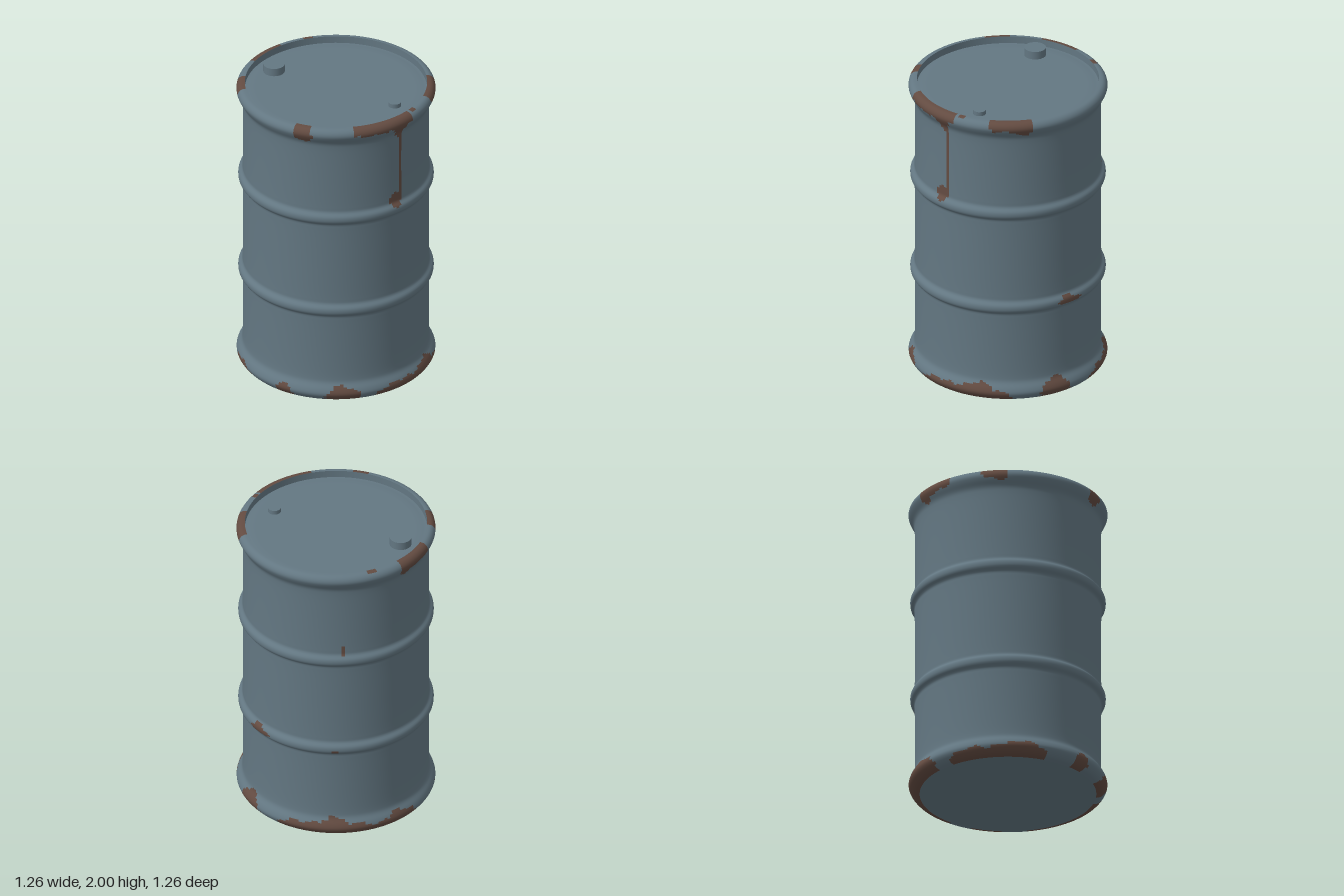
import * as THREE from 'three';

const SEGMENTS = 180;
const paint = new THREE.MeshStandardMaterial({ color: 0x637782 });
paint.name = 'blue grey paint';
const rust = new THREE.MeshStandardMaterial({ color: 0x634b41 });
rust.name = 'brown rust';

// Angles are in degrees, from the front (+z) towards +x.
// Rust on the bottom rim: [start, end, height, angle of the peak]
const bottomRust = [
  [-117, -90, 0.06, -100], [-92, -56, 0.085, -70], [-36, -25, 0.09, -30],
  [-5, 16, 0.115, 5], [26, 88, 0.125, 68], [105, 125, 0.14, 115],
  [140, 203, 0.135, 175], [200, 231, 0.11, 216],
];
// Rust on the top rim: [start, end, depth, angle of the drip, length of the drip]
const topRust = [
  [-142, -116, 0.07, -137, 0.05], [-95, -79, 0.06, -85, 0.02],
  [-24, -13, 0.085, -19, 0.02], [12, 52, 0.06, 43, 0.08], [75, 100, 0.06, 95, 0.045],
];
// Loose spots on the wall: [angle, y, half width, half height]
const spots = [
  [41, 1.395, 4.5, 0.05], [181, 1.4, 1.6, 0.035], [125, 0.66, 8.5, 0.02],
  [123, 0.68, 4, 0.022], [176, 0.64, 1.2, 0.015],
];

const wobble = (a) => 0.007 * Math.sin(a * 0.55) + 0.005 * Math.sin(a * 1.27 + 1);
const turn = (a, b) => ((a - b + 540) % 360 + 360) % 360 - 180;
const within = (a, from, to) => {
  const half = (to - from) / 2;
  return Math.abs(turn(a, from + half)) / half;
};

function isRusty(a, y, r) {
  if (y < 0.2) {
    return bottomRust.some(([from, to, height, peak]) => {
      const t = within(a + 60 * wobble(y * 900), from, to);
      if (t >= 1) return false;
      const bump = 0.7 + 0.3 * Math.exp(-((turn(a, peak) / 7) ** 2));
      return y < height * bump * (1 - t ** 6 * 0.5) + wobble(a);
    });
  }
  if (y > 1.8) {
    // small marks on the inner half of the rim
    if (r < 0.612 && y > 1.96 && (within(a, -164, -157) < 1 || within(a, 55, 59) < 1)) return true;
    return topRust.some(([from, to, depth, drip, length]) => {
      const t = within(a, from, to);
      const run = length * Math.exp(-((turn(a, drip) / 4) ** 2));
      return t < 1 && y > 1.99 - depth * (1 - t ** 6 * 0.3) - run + wobble(a);
    }) || (Math.abs(turn(a, 45)) < 1.01 && y < 1.93);
  }
  // thin run below the long drip
  if (y > 1.42 && Math.abs(turn(a, 45)) < 1.01) return true;
  return spots.some(([angle, cy, w, h]) =>
    (turn(a, angle) / w) ** 2 + ((y - cy) / h) ** 2 < 1);
}

// Split the faces of the shell into a painted and a rusty group
function splitByRust(geometry) {
  const index = geometry.index.array;
  const p = geometry.attributes.position;
  const painted = [];
  const rusty = [];
  for (let i = 0; i < index.length; i += 6) {
    let x = 0, y = 0, z = 0;
    for (let k = 0; k < 6; k++) {
      x += p.getX(index[i + k]) / 6;
      y += p.getY(index[i + k]) / 6;
      z += p.getZ(index[i + k]) / 6;
    }
    const angle = THREE.MathUtils.radToDeg(Math.atan2(x, z));
    const target = isRusty(angle, y, Math.hypot(x, z)) ? rusty : painted;
    for (let k = 0; k < 6; k++) target.push(index[i + k]);
  }
  geometry.setIndex([...painted, ...rusty]);
  geometry.clearGroups();
  geometry.addGroup(0, painted.length, 0);
  geometry.addGroup(painted.length, rusty.length, 1);
  return geometry;
}

const toPoints = (list) => list.map(([r, y]) => new THREE.Vector2(r, y));

export function createModel() {
  const drum = new THREE.Group();
  drum.name = 'drum';
  const add = (name, geometry, material) => {
    const mesh = new THREE.Mesh(geometry, material);
    mesh.name = name;
    drum.add(mesh);
    return mesh;
  };

  // Shell: rolled rims at both ends and two raised hoops
  const hoop = (y) => [
    [0.592, y - 0.07], [0.594, y - 0.045], [0.617, y - 0.018],
    [0.617, y + 0.018], [0.594, y + 0.045], [0.592, y + 0.07],
  ];
  const profile = [
    [0.56, 0], [0.59, 0.008], [0.615, 0.03], [0.63, 0.06], [0.622, 0.09],
    [0.597, 0.13], [0.592, 0.16],
    ...hoop(0.66), ...hoop(1.33),
    [0.592, 1.84], [0.597, 1.875], [0.622, 1.92], [0.631, 1.945],
    [0.625, 1.968], [0.605, 1.986], [0.578, 1.99],
  ].map(([r, y]) => new THREE.Vector3(r, y, 0));
  const curve = new THREE.CatmullRomCurve3(profile, false, 'centripetal');
  curve.arcLengthDivisions = 1000;
  const shellPoints = curve.getSpacedPoints(200).map((v) => new THREE.Vector2(v.x, v.y));
  add('shell', splitByRust(new THREE.LatheGeometry(shellPoints, SEGMENTS)), [paint, rust]);

  // Inner wall of the top rim, recessed lid and flat base
  add('rimInnerWall', new THREE.LatheGeometry(toPoints([[0.578, 1.99], [0.578, 1.943]]), SEGMENTS), paint);
  add('lid', new THREE.LatheGeometry(
    toPoints([[0.578, 1.943], [0.552, 1.943], [0.54, 1.947], [0.5, 1.947], [0, 1.947]]), SEGMENTS), paint);
  add('base', new THREE.LatheGeometry(toPoints([[0, 0], [0.56, 0]]), SEGMENTS), paint);

  // Two round plugs on the lid
  const plug = (name, x, z, radius, top) => {
    const height = top - 1.94;
    add(name, new THREE.CylinderGeometry(radius, radius, height, 24), paint)
      .position.set(x, top - height / 2, z);
  };
  plug('largePlug', -0.398, -0.205, 0.069, 2);
  plug('smallPlug', 0.378, 0.212, 0.041, 1.975);

  return drum;
}
